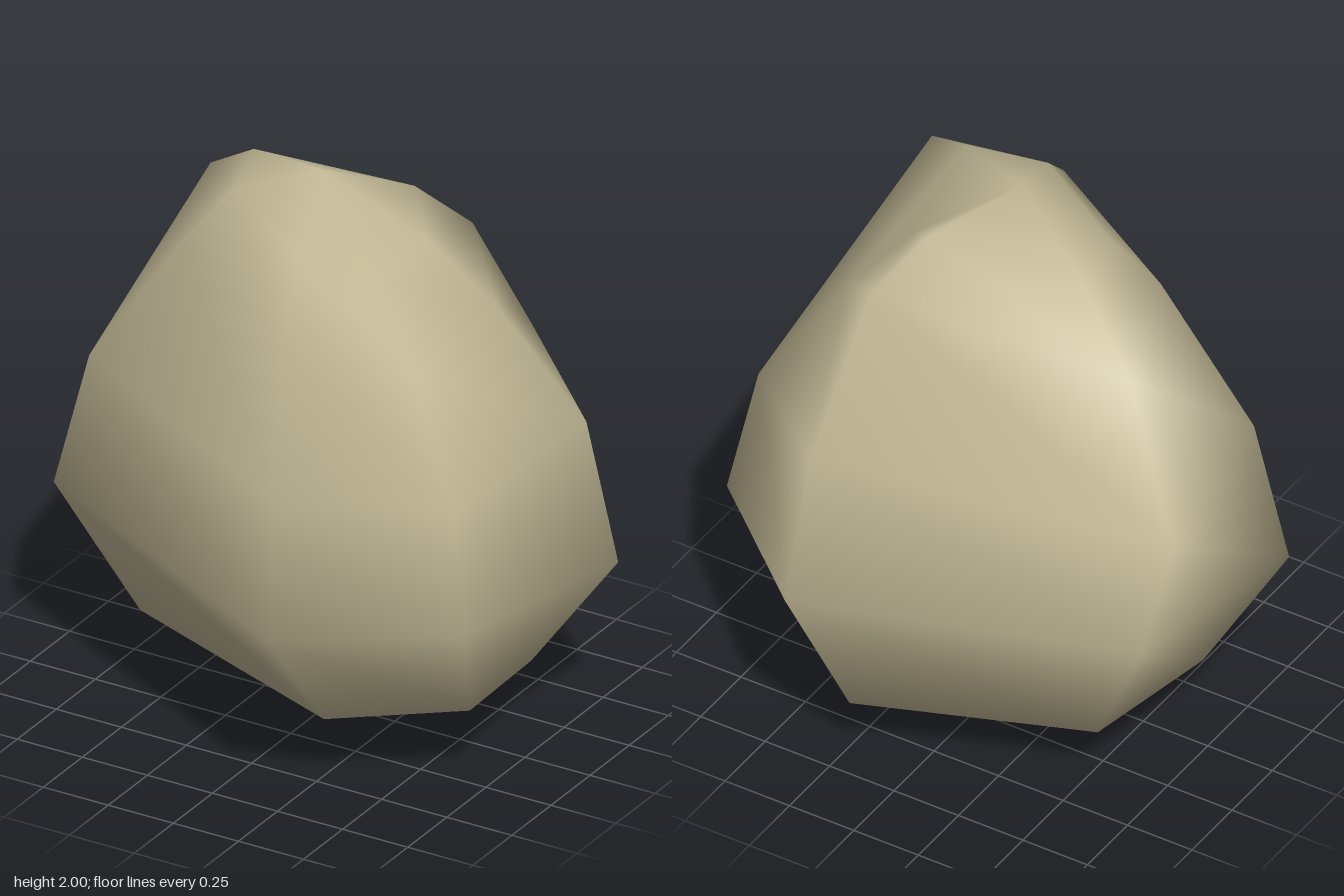
import * as THREE from 'three';

// Six uneven meridians, each listed from top to bottom as [x, y, z]
const MERIDIANS = [
  [[0.20, 1.88, -0.21], [0.32, 1.70, -0.38], [0.36, 1.20, -0.69], [0.36, 0.71, -0.85], [0.21, 0.24, -0.69]],
  [[0.33, 1.76, -0.09], [0.53, 1.53, -0.19], [0.80, 1.12, -0.31], [0.91, 0.62, -0.33], [0.63, 0.22, -0.24]],
  [[0.39, 1.82, 0.33], [0.65, 1.62, 0.53], [0.80, 1.16, 0.54], [0.81, 0.68, 0.49], [0.70, 0.28, 0.27]],
  [[0.10, 1.84, 0.37], [0.17, 1.64, 0.58], [0.25, 1.16, 0.78], [0.28, 0.68, 0.85], [0.29, 0.25, 0.52]],
  [[-0.31, 1.87, 0.10], [-0.45, 1.68, 0.19], [-0.78, 1.19, 0.24], [-0.91, 0.69, 0.25], [-0.65, 0.23, 0.13]],
  [[-0.40, 1.87, -0.18], [-0.65, 1.69, -0.32], [-0.90, 1.19, -0.45], [-0.78, 0.70, -0.46], [-0.56, 0.23, -0.38]],
];
const TOP = [0, 2, 0.05];
const BOTTOM = [0.19, 0, -0.06];
const PATCH_HEIGHT = 0.055;

function bodyGeometry() {
  const sides = MERIDIANS.length;
  // Extra ring near the bottom tip bounds the dark patch
  const columns = MERIDIANS.map((m) => {
    const last = m[m.length - 1];
    const t = PATCH_HEIGHT / last[1];
    return [...m, BOTTOM.map((b, k) => b + (last[k] - b) * t)];
  });
  const rings = columns[0].length;
  const points = [TOP];
  for (let r = 0; r < rings; r++) columns.forEach((c) => points.push(c[r]));
  points.push(BOTTOM);

  const at = (r, i) => 1 + r * sides + (i % sides);
  const tip = points.length - 1;
  const index = [];
  for (let i = 0; i < sides; i++) index.push(0, at(0, i + 1), at(0, i));
  for (let r = 0; r < rings - 1; r++) {
    for (let i = 0; i < sides; i++) {
      const a = at(r, i), b = at(r, i + 1), c = at(r + 1, i), d = at(r + 1, i + 1);
      index.push(a, b, c, b, d, c);
    }
  }
  const shellCount = index.length;
  for (let i = 0; i < sides; i++) index.push(at(rings - 1, i), at(rings - 1, i + 1), tip);

  const geometry = new THREE.BufferGeometry();
  geometry.setAttribute('position', new THREE.Float32BufferAttribute(points.flat(), 3));
  geometry.setIndex(index);
  geometry.computeVertexNormals();
  geometry.addGroup(0, shellCount, 0);
  geometry.addGroup(shellCount, index.length - shellCount, 1);
  return geometry;
}

export function createModel() {
  const tan = new THREE.MeshStandardMaterial({ color: 0xc5bb98 });
  tan.name = 'tan';
  const olive = new THREE.MeshStandardMaterial({ color: 0x6e6823 });
  olive.name = 'dark olive';

  const group = new THREE.Group();
  group.name = 'roundedRock';
  // Smooth lumpy body with a dark patch at the bottom tip
  const body = new THREE.Mesh(bodyGeometry(), [tan, olive]);
  body.name = 'body';
  group.add(body);
  return group;
}
